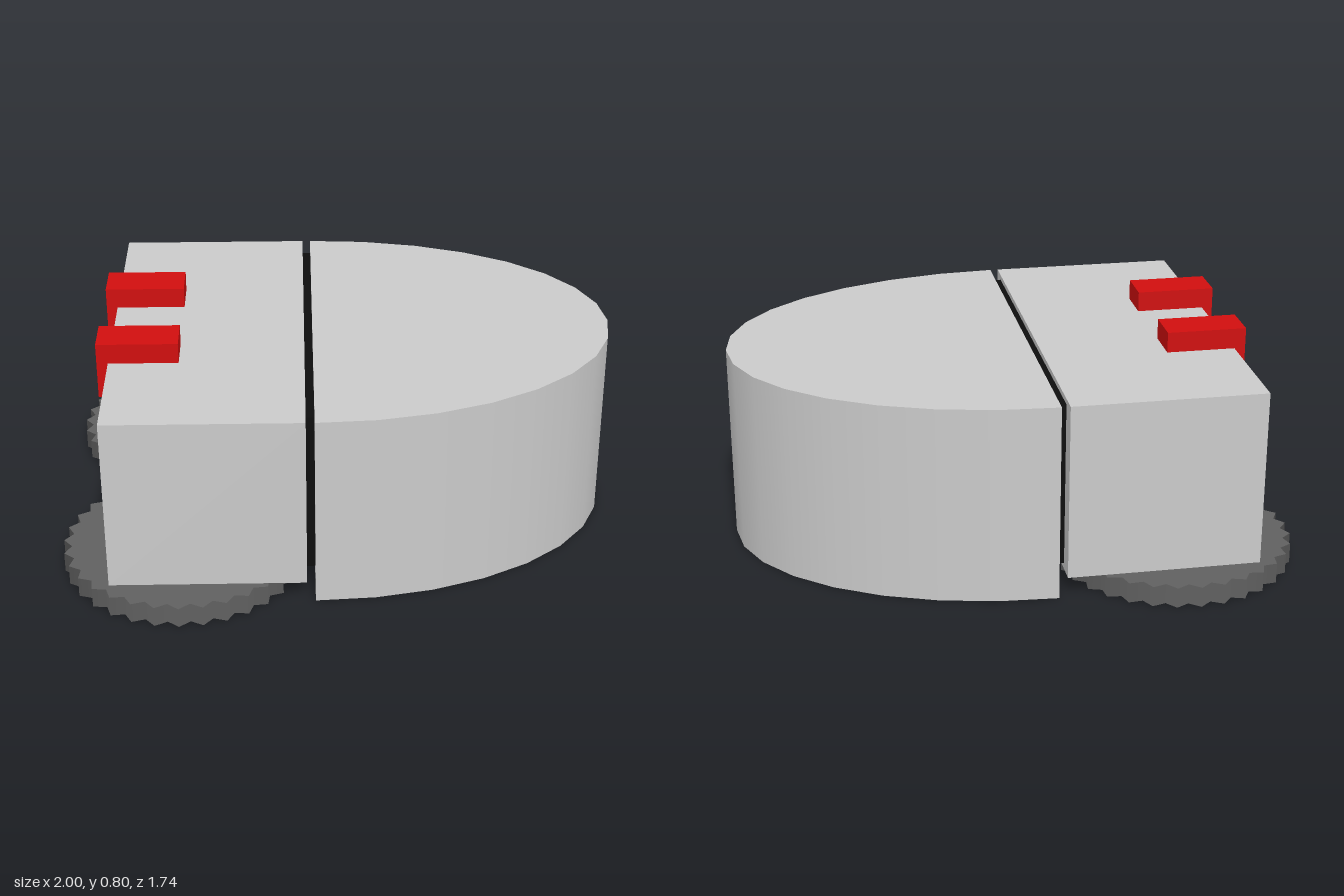
import * as THREE from 'three';

const mat = (name, color) => {
  const m = new THREE.MeshStandardMaterial({ color });
  m.name = name;
  return m;
};

export function createModel() {
  const group = new THREE.Group();
  const grey = mat('light grey', 0xcacaca);
  const dark = mat('dark grey', 0x606060);
  const black = mat('black', 0x0d0d0d);
  const red = mat('red', 0xd00e0e);

  const add = (name, geometry, material, parent = group) => {
    const mesh = new THREE.Mesh(geometry, material);
    mesh.name = name;
    parent.add(mesh);
    return mesh;
  };
  // box given by its limits on each axis
  const box = (name, [x0, x1], [y0, y1], [z0, z1], material, parent) =>
    add(name, new THREE.BoxGeometry(x1 - x0, y1 - y0, z1 - z0)
      .translate((x0 + x1) / 2, (y0 + y1) / 2, (z0 + z1) / 2), material, parent);

  // rear block and the thin joint behind the nose
  box('rearBlock', [-0.815, -0.12], [0.077, 0.725], [-0.725, 0.725], grey);
  box('joint', [-0.121, -0.089], [0.10, 0.705], [-0.655, 0.655], black);

  // half-elliptical nose, closed by a flat wall
  const nose = new THREE.Group();
  nose.name = 'nose';
  group.add(nose);
  add('noseShell', new THREE.CylinderGeometry(1, 1, 0.725, 16, 1, false, 0, Math.PI)
    .scale(1.09, 1, 0.725).translate(-0.09, 0.3625, 0), grey, nose);
  add('noseWall', new THREE.PlaneGeometry(1.45, 0.725)
    .rotateY(-Math.PI / 2).translate(-0.09, 0.3625, 0), grey, nose);

  // toothed disc: every second rim point is pulled inward
  const teeth = 32;
  const disc = new THREE.CylinderGeometry(0.435, 0.435, 0.075, teeth * 2);
  const p = disc.attributes.position;
  for (let i = 0; i < p.count; i++) {
    const step = Math.round(Math.atan2(p.getX(i), p.getZ(i)) / (Math.PI / teeth));
    const s = step % 2 ? 0.405 / 0.435 : 1;
    p.setX(i, p.getX(i) * s);
    p.setZ(i, p.getZ(i) * s);
  }

  for (const side of [-1, 1]) {
    const label = side > 0 ? 'front' : 'back';
    add(label + 'ToothedWheel', disc, dark).position.set(-0.565, 0.0375, side * 0.435);

    // L-shaped hook over the rear edge
    const hook = new THREE.Group();
    hook.name = label + 'Hook';
    group.add(hook);
    const z = [side * 0.22 - 0.0725, side * 0.22 + 0.0725];
    box('hookTop', [-0.855, -0.565], [0.725, 0.80], z, red, hook);
    box('hookLeg', [-0.855, -0.815], [0.59, 0.725], z, red, hook);
  }
  return group;
}
